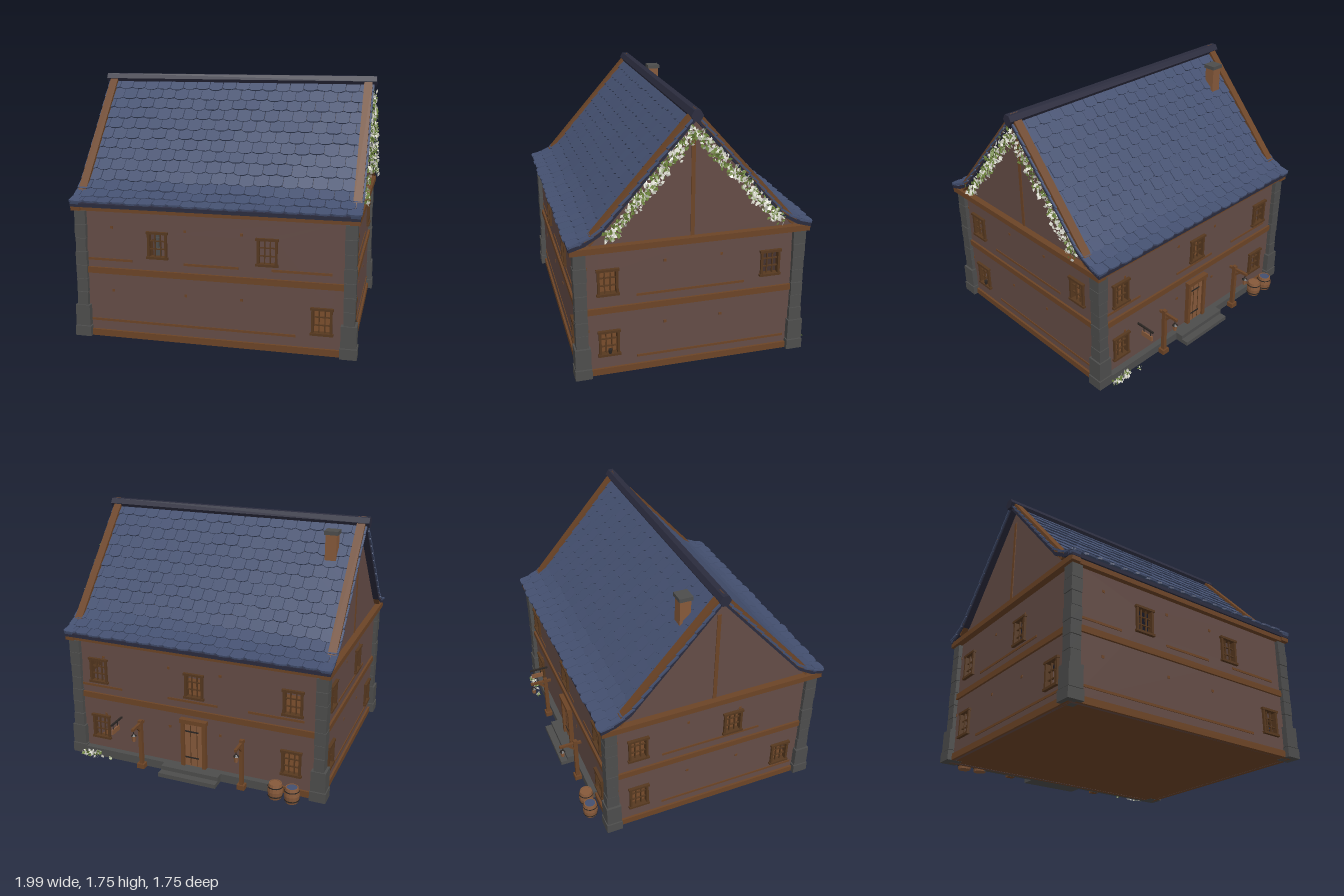
import * as THREE from 'three';
import { mergeGeometries } from 'three/addons/utils/BufferGeometryUtils.js';

const mat = (name, color, side = THREE.FrontSide) => {
  const m = new THREE.MeshStandardMaterial({ color, side, flatShading: true });
  m.name = name;
  return m;
};

export function createModel() {
  const M = {
    plaster: mat('plaster', 0x644c46),
    timber: mat('timber', 0x6c4426),
    frame: mat('window wood', 0x56381f),
    wood: mat('pale wood', 0x86593a),
    stone: mat('stone', 0x4d4d4c),
    tile: mat('roof tile', 0x445070),
    slate: mat('dark slate', 0x2a2b3d),
    leaf: mat('leaf green', 0x71893f, THREE.DoubleSide),
    petal: mat('petal white', 0xe2e2d6, THREE.DoubleSide),
    iron: mat('iron', 0x2b2623),
  };
  let seed = 7;
  const rnd = (a = 0, b = 1) => {
    seed = (seed * 16807) % 2147483647;
    return a + (b - a) * (seed / 2147483647);
  };
  const add = (parent, name, geo, m, x = 0, y = 0, z = 0) => {
    const mesh = new THREE.Mesh(geo, m);
    mesh.name = name;
    mesh.position.set(x, y, z);
    parent.add(mesh);
    return mesh;
  };
  const box = (p, name, m, w, h, d, x, y, z) => add(p, name, new THREE.BoxGeometry(w, h, d), m, x, y, z);
  const group = (parent, name, x = 0, y = 0, z = 0, ry = 0) => {
    const g = new THREE.Group();
    g.name = name;
    g.position.set(x, y, z);
    g.rotation.y = ry;
    parent.add(g);
    return g;
  };

  const model = new THREE.Group();
  model.name = 'house';
  const CX = -0.012, CZ = 0.06, HX = 0.915, HZ = 0.745;
  const house = group(model, 'building', CX, 0, CZ);

  // Window: frame, sill, lintel and glazing bars around an opening
  const addWindow = (p, u, y) => {
    const g = group(p, 'window', u, y, 0);
    for (const s of [-1, 1]) {
      box(g, 'jamb', M.frame, 0.016, 0.18, 0.04, s * 0.06, 0, -0.004);
      box(g, 'rail', M.frame, 0.15, 0.016, 0.046, 0, s * 0.085, -0.002);
      box(g, 'uprightBar', M.frame, 0.007, 0.16, 0.012, s * 0.019, 0, -0.006);
      box(g, 'crossBar', M.frame, 0.11, 0.007, 0.012, 0, s * 0.027, -0.006);
    }
  };

  // Wall facing local +z, with window openings, belts, boards and pegs
  const addWall = (name, half, x, z, ry, windows, boards, gable) => {
    const g = group(house, name, x, 0, z, ry);
    const pts = [[-half, 0], [half, 0], [half, 0.91]];
    if (gable) pts.push([0.6, 1.01], [0, 1.685], [-0.6, 1.01]);
    pts.push([-half, 0.91]);
    const shape = new THREE.Shape(pts.map(([a, b]) => new THREE.Vector2(a, b)));
    for (const [u, y] of windows) {
      const [w, h] = [0.056, 0.08];
      shape.holes.push(new THREE.Path([[-w, -h], [-w, h], [w, h], [w, -h]]
        .map(([a, b]) => new THREE.Vector2(u + a, y + b))));
      addWindow(g, u, y);
    }
    add(g, 'wallPanel', new THREE.ExtrudeGeometry(shape, { depth: 0.02, bevelEnabled: false }), M.plaster, 0, 0, -0.02);
    box(g, 'sillBeam', M.timber, half * 2, 0.045, 0.03, 0, 0.0225, 0);
    box(g, 'beltBeam', M.timber, half * 2, 0.042, 0.03, 0, 0.468, 0);
    for (const [a, b, y] of boards) box(g, 'board', M.timber, b - a, 0.016, 0.008, (a + b) / 2, y, 0.001);
    for (const y of [0.33, 0.77]) for (const u of [-0.69, -0.18, 0.2]) box(g, 'peg', M.timber, 0.018, 0.018, 0.008, u, y, 0);
    if (gable) {
      box(g, 'tieBeam', M.timber, 1.59, 0.04, 0.065, 0, 0.903, 0.012);
      box(g, 'gablePost', M.timber, 0.026, 0.66, 0.008, 0, 1.25, 0.001);
    } else box(g, 'eaveBeam', M.timber, half * 2, 0.035, 0.05, 0, 0.9, 0.01);
    return g;
  };
  const longBoards = [[-0.87, -0.55, 0.545], [-0.19, 0.18, 0.545], [0.4, 0.79, 0.545]];
  const sideBoards = [[-0.37, 0.36, 0.55], [-0.37, 0.66, 0.1]];
  const hi = 0.665, lo = 0.228;
  addWall('frontWall', HX, 0, HZ, 0, [[-0.37, hi], [0.37, hi], [0.73, lo]], [...longBoards, [-0.87, 0.56, 0.115]], false);
  addWall('backWall', HX, 0, -HZ, Math.PI, [[-0.73, hi], [0.01, hi], [0.71, hi], [-0.73, lo], [0.71, lo]], longBoards, false);
  addWall('leftWall', HZ, HX, 0, Math.PI / 2, [[-0.555, hi], [0.54, hi], [-0.555, lo]], sideBoards, true);
  addWall('rightWall', HZ, -HX, 0, -Math.PI / 2, [[-0.54, hi], [0.15, hi], [-0.54, lo], [0.555, lo]], sideBoards, true);
  box(house, 'floor', M.timber, HX * 2, 0.01, HZ * 2, 0, 0.006, 0);

  // Corner piers of stacked stones
  for (const sx of [-1, 1]) for (const sz of [-1, 1]) {
    const pier = group(house, 'cornerPier', sx * 0.905, 0, sz * 0.733);
    box(pier, 'baseStone', M.stone, 0.112, 0.07, 0.112, 0, 0.035, 0);
    box(pier, 'baseStone', M.stone, 0.102, 0.145, 0.104, 0, 0.1475, 0);
    for (let i = 0; i < 7; i++) {
      box(pier, 'stone', M.stone, rnd(0.07, 0.08), 0.091, rnd(0.078, 0.088), 0, 0.265 + i * 0.0945, 0);
    }
  }

  // Roof shell: a bent band along the whole length
  const prof = [[0, 1.705], [0.6, 1.025], [0.7, 0.965], [0.8, 0.935]];
  const left = prof.slice(1).reverse().map(([d, y]) => [-d, y]);
  const band = [...left, ...prof];
  const under = band.map(([d, y]) => [d, y - 0.025]).reverse();
  const shell = new THREE.Shape([...band, ...under].map(([a, b]) => new THREE.Vector2(a, b)));
  const shellGeo = new THREE.ExtrudeGeometry(shell, { depth: 1.92, bevelEnabled: false });
  add(house, 'roofShell', shellGeo, M.slate, -0.96, 0, 0).rotation.y = Math.PI / 2;

  // Overlapping tiles laid down the bent profile
  const seg = prof.slice(1).map((p, i) => Math.hypot(p[0] - prof[i][0], p[1] - prof[i][1]));
  const at = (t) => {
    let i = 0;
    while (i < 2 && t > seg[i]) t -= seg[i++];
    const k = t / seg[i], [a, b] = [prof[i], prof[i + 1]];
    return [a[0] + (b[0] - a[0]) * k, a[1] + (b[1] - a[1]) * k];
  };
  const total = seg[0] + seg[1] + seg[2], rows = 13, step = total / rows, cols = 20, tw = 1.94 / cols;
  const makeTiles = () => {
    const tiles = [];
    for (let r = 0; r < rows; r++) {
      const [d0, y0] = at(r * step), [d1, y1] = at((r + 1) * step);
      const slope = Math.atan2(y0 - y1, d1 - d0), off = (r % 2) * tw * 0.5;
      for (let c = 0; c < cols + r % 2; c++) {
        const x0 = Math.max(-0.97, -0.97 + c * tw - off), x1 = Math.min(0.97, -0.97 + (c + 1) * tw - off);
        const w = (x1 - x0) / 2 - rnd(0.001, 0.003), l = step + rnd(0.004, 0.016);
        const s = new THREE.Shape([[-w, 0], [-w, 0.012 - l], [-w * 0.5, -l], [w * 0.5, -l], [w, 0.012 - l], [w, 0]]
          .map(([a, b]) => new THREE.Vector2(a, b)));
        const geo = new THREE.ExtrudeGeometry(s, { depth: 0.012, bevelEnabled: false });
        geo.rotateX(-0.09 + rnd(-0.03, 0.02));
        geo.rotateX(slope - Math.PI / 2);
        geo.translate((x0 + x1) / 2, y0, d0);
        tiles.push(geo);
      }
    }
    return mergeGeometries(tiles);
  };
  for (const [name, ry] of [['frontRoof', 0], ['backRoof', Math.PI]]) {
    const g = group(house, name, 0, 0, 0, ry);
    add(g, 'roofTiles', makeTiles(), M.tile);
    for (const s of [-1, 1]) {
      box(g, 'bargeBeam', M.timber, 0.056, 1.05, 0.045, s * 0.928, 1.345, 0.334).rotation.x = -0.725;
      box(g, 'eaveBlock', M.tile, 0.06, 0.03, 0.08, s * 0.93, 0.95, 0.765).rotation.x = 0.3;
    }
  }
  add(house, 'ridgeCap', new THREE.CylinderGeometry(0.04, 0.04, 1.968, 6), M.slate, 0, 1.717, 0).rotation.z = Math.PI / 2;

  // Chimney
  box(model, 'chimneyStack', M.wood, 0.076, 0.25, 0.074, -0.785, 1.54, -0.118);
  box(model, 'chimneyCap', M.stone, 0.095, 0.026, 0.092, -0.785, 1.672, -0.118);

  // Clusters of leaves and petals along a line
  const foliage = (name, a, b, n, spread, depth, size, share) => {
    const sets = [[], []];
    for (let i = 0; i < n; i++) {
      const geo = new THREE.CircleGeometry(rnd(size * 0.7, size * 1.3), 4);
      geo.scale(1, 0.65, 1);
      geo.rotateZ(rnd(0, 6.28));
      geo.rotateY(Math.PI / 2 + rnd(-0.9, 0.9));
      geo.rotateZ(rnd(-0.6, 0.6));
      const p = new THREE.Vector3(...a).lerp(new THREE.Vector3(...b), rnd());
      geo.translate(p.x + rnd(-depth, depth), p.y + rnd(-spread, spread), p.z + rnd(-spread, spread));
      sets[rnd() < share ? 0 : 1].push(geo);
    }
    add(model, name + 'Petals', mergeGeometries(sets[0]), M.petal);
    add(model, name + 'Leaves', mergeGeometries(sets[1]), M.leaf);
  };
  foliage('frontGarland', [0.95, 0.98, 0.62], [0.95, 1.62, 0.06], 420, 0.036, 0.028, 0.016, 0.55);
  foliage('backGarland', [0.95, 0.98, -0.52], [0.95, 1.62, 0.06], 420, 0.036, 0.028, 0.016, 0.55);
  foliage('flowerBed', [0.7, 0.03, -0.76], [0.85, 0.03, -0.76], 90, 0.02, 0.01, 0.013, 0.6);
  foliage('flowerTuft', [0.61, 0.02, -0.77], [0.63, 0.02, -0.77], 14, 0.012, 0.008, 0.01, 0.6);
  add(model, 'flowerPot', new THREE.CylinderGeometry(0.014, 0.01, 0.03, 8), M.iron, 0.91, 0.165, 0.61);

  // Door, steps and plinth at the back
  const door = group(model, 'door', -0.02, 0, CZ - HZ, Math.PI);
  box(door, 'doorLeaf', M.wood, 0.14, 0.33, 0.02, 0, 0.225, 0.005);
  for (const s of [-1, 1]) {
    box(door, 'doorPost', M.timber, 0.026, 0.35, 0.045, s * 0.08, 0.23, 0.01);
    box(door, 'doorJoint', M.frame, 0.004, 0.32, 0.004, s * 0.024, 0.225, 0.016);
    box(door, 'hinge', M.iron, 0.1, 0.01, 0.004, -0.015, 0.225 + s * 0.1, 0.017);
  }
  box(door, 'doorLintel', M.timber, 0.2, 0.03, 0.055, 0, 0.405, 0.012);
  box(model, 'lowerStep', M.stone, 0.43, 0.03, 0.145, -0.015, 0.015, -0.757);
  box(model, 'upperStep', M.stone, 0.43, 0.03, 0.095, -0.015, 0.045, -0.732);
  box(model, 'plinth', M.stone, 0.66, 0.06, 0.045, 0.53, 0.03, -0.705);
  box(model, 'plinth', M.stone, 0.4, 0.06, 0.045, -0.43, 0.03, -0.705);

  // Lamp posts
  for (const x of [-0.395, 0.365]) {
    const g = group(model, 'lampPost', x, 0, -0.755);
    box(g, 'base', M.timber, 0.055, 0.035, 0.05, 0, 0.0175, 0);
    box(g, 'post', M.timber, 0.026, 0.37, 0.028, 0, 0.185, 0);
    box(g, 'arm', M.timber, 0.018, 0.018, 0.16, 0, 0.345, -0.037);
    box(g, 'brace', M.timber, 0.014, 0.07, 0.014, 0, 0.315, -0.03).rotation.x = -0.8;
    box(g, 'chain', M.iron, 0.005, 0.04, 0.005, 0, 0.32, -0.098);
    add(g, 'lanternLid', new THREE.CylinderGeometry(0.008, 0.022, 0.014, 6), M.iron, 0, 0.303, -0.098);
    add(g, 'lantern', new THREE.CylinderGeometry(0.018, 0.013, 0.04, 6), M.wood, 0, 0.276, -0.098);
  }

  // Hanging board on a bracket
  const sign = group(model, 'hangingBoard', 0.555, 0, -0.755);
  box(sign, 'bracket', M.iron, 0.012, 0.012, 0.15, 0, 0.325, 0);
  for (const z of [-0.05, 0.01]) box(sign, 'link', M.iron, 0.004, 0.04, 0.004, 0, 0.303, z);
  box(sign, 'board', M.wood, 0.012, 0.036, 0.094, 0, 0.268, -0.02);

  // Barrels
  const staves = [[0, 0], [0.042, 0], [0.05, 0.03], [0.053, 0.055], [0.05, 0.08], [0.043, 0.11], [0.037, 0.11], [0.037, 0.103], [0, 0.103]];
  const barrelGeo = new THREE.LatheGeometry(staves.map(([a, b]) => new THREE.Vector2(a, b)), 14);
  [[-0.76, -0.78, M.tile], [-0.642, -0.77, M.wood]].forEach(([x, z, top]) => {
    const g = group(model, 'barrel', x, 0, z);
    add(g, 'staves', barrelGeo, M.wood);
    for (const y of [0.022, 0.088]) add(g, 'hoop', new THREE.CylinderGeometry(0.0515, 0.0515, 0.009, 14, 1, true), M.iron, 0, y, 0);
    add(g, 'barrelTop', new THREE.CylinderGeometry(0.037, 0.037, 0.004, 14), top, 0, 0.105, 0);
  });
  return model;
}
